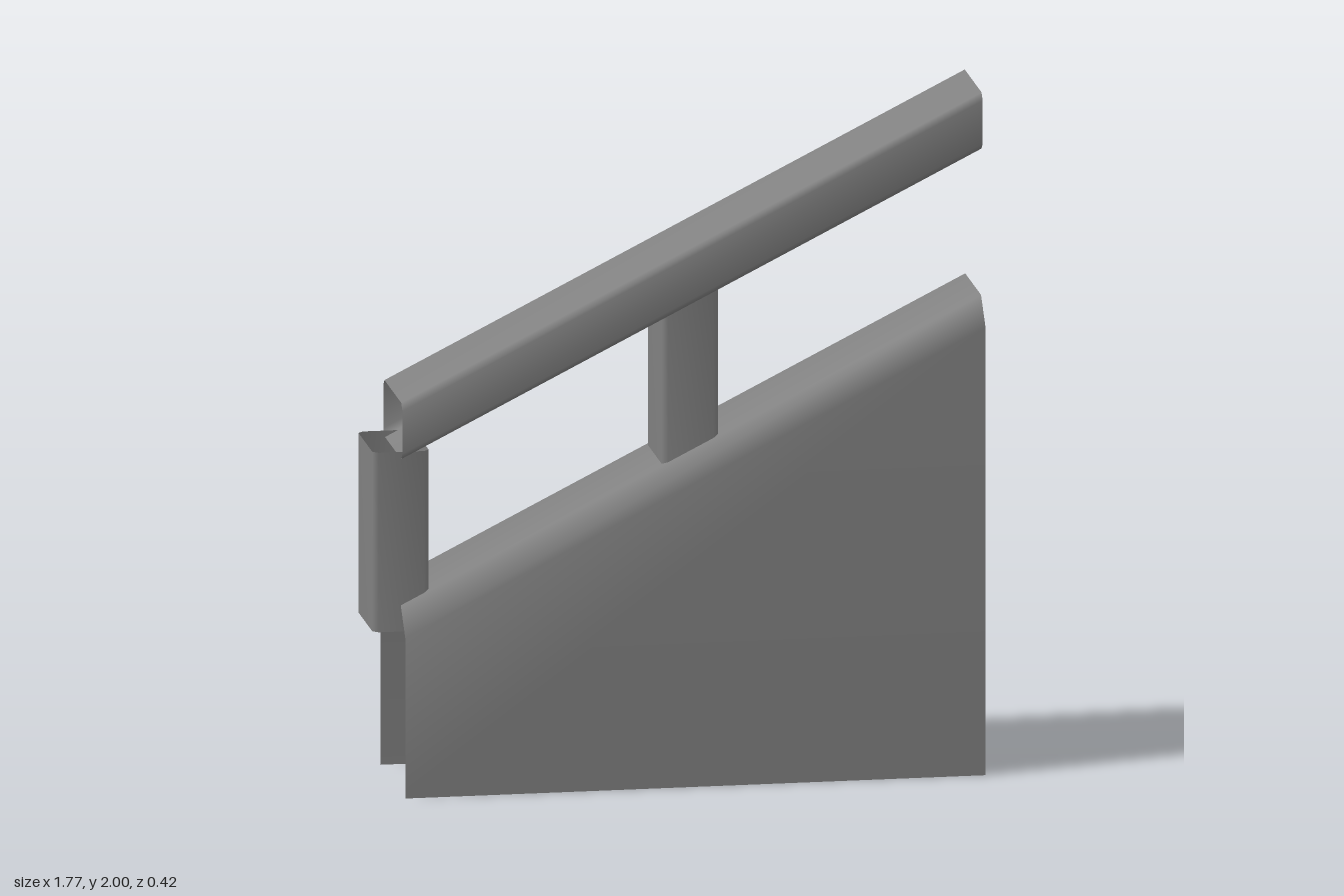
import * as THREE from 'three';

// Rectangle outline with cut corners, half sizes a and b
function cutRect(a, b, c) {
  return [
    [a, -b + c], [a, b - c], [a - c, b], [-a + c, b],
    [-a, b - c], [-a, -b + c], [-a + c, -b], [a - c, -b],
  ];
}

// Smooth open-ended skin between two matching rings of points
function skin(name, start, end, closed, material) {
  const n = start.length;
  const geometry = new THREE.BufferGeometry().setFromPoints([...start, ...end]);
  const index = [];
  for (let i = 0; i < (closed ? n : n - 1); i++) {
    const j = (i + 1) % n;
    index.push(i, n + i, n + j, i, n + j, j);
  }
  geometry.setIndex(index);
  geometry.computeVertexNormals();
  const mesh = new THREE.Mesh(geometry, material);
  mesh.name = name;
  return mesh;
}

export function createModel() {
  const group = new THREE.Group();
  group.name = 'slopedRailing';
  const grey = new THREE.MeshStandardMaterial({ color: 0x808080, side: THREE.DoubleSide });
  grey.name = 'grey';

  const x0 = -0.805, x1 = 0.885, rise = 0.848;
  const v = (x, y, z) => new THREE.Vector3(x, y, z);

  // Wall: two sides and a sloped, bevelled cap; open ends and bottom
  const wallRing = (x, top) => [
    [0.21, 0], [0.21, top - 0.078], [0.134, top],
    [-0.134, top], [-0.21, top - 0.078], [-0.21, 0],
  ].map(([z, y]) => v(x, y, z));
  group.add(skin('wall', wallRing(x0, 0.552), wallRing(x1, 0.552 + rise), false, grey));

  // Handrail: sloped hollow bar with vertical end cuts
  const railRing = (x, mid) => cutRect(0.162, 0.083, 0.02).map(([z, y]) => v(x, mid + y, z));
  group.add(skin('handrail', railRing(x0, 1.069), railRing(x1, 1.069 + rise), true, grey));

  // Hollow posts between the wall cap and the handrail
  const postRing = (cx, y) => cutRect(0.133, 0.082, 0.016).map(([z, x]) => v(cx - x, y, z));
  for (const [name, x, y] of [['endPost', -0.803, 0.475], ['middlePost', 0.04, 0.93]]) {
    group.add(skin(name, postRing(x, y), postRing(x, y + 0.53), true, grey));
  }
  return group;
}
